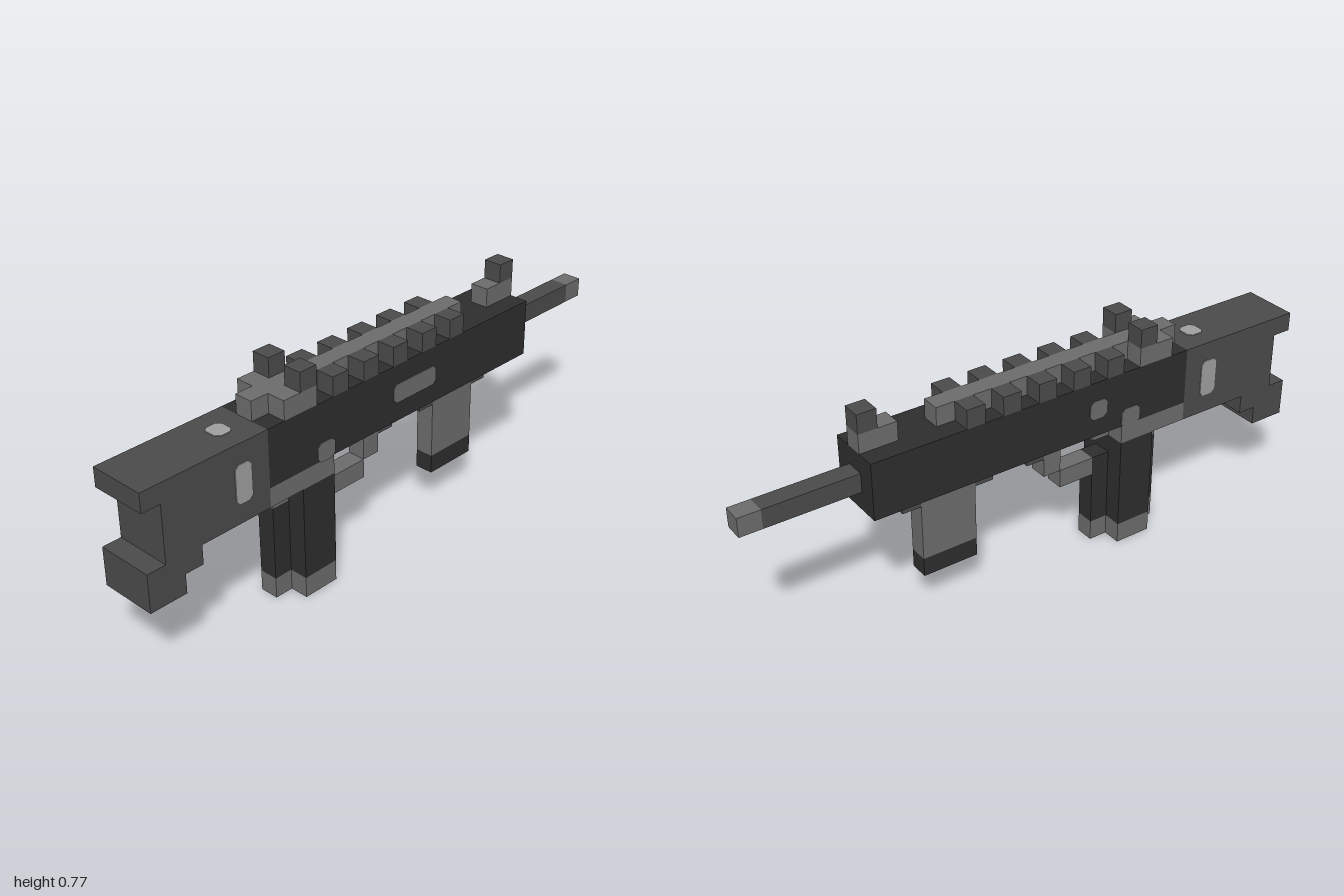
import * as THREE from 'three';

const U = 2 / 31; // one block; the model is 31 x 12 x 3 blocks

function material(name, color) {
  const m = new THREE.MeshStandardMaterial({ color });
  m.name = name;
  return m;
}

export function createModel() {
  const model = new THREE.Group();
  const black = material('black', 0x2d2d2d);
  const darkGrey = material('dark grey', 0x4a4a4a);
  const grey = material('grey', 0x6b6b6b);
  const paleGrey = material('pale grey', 0x9e9e9e);

  // Box given by its block limits along x and y, its depth and its z centre
  function block(name, mat, x0, x1, y0, y1, depth = 3, z = 0) {
    const mesh = new THREE.Mesh(new THREE.BoxGeometry((x1 - x0) * U, (y1 - y0) * U, depth * U), mat);
    mesh.position.set(((x0 + x1) / 2) * U - 1, ((y0 + y1) / 2) * U, z * U);
    mesh.name = name;
    model.add(mesh);
    return mesh;
  }

  // Thin plate with clipped corners, facing +z until turned
  function plate(name, mat, w, h, x, y, z, rx = 0, ry = 0) {
    const a = w / 2, b = h / 2, c = 0.2;
    const corners = [[-a + c, -b], [a - c, -b], [a, -b + c], [a, b - c], [a - c, b], [-a + c, b], [-a, b - c], [-a, -b + c]];
    const shape = new THREE.Shape(corners.map(([px, py]) => new THREE.Vector2(px * U, py * U)));
    const mesh = new THREE.Mesh(new THREE.ExtrudeGeometry(shape, { depth: 0.003, bevelEnabled: false }), mat);
    mesh.position.set(x * U - 1, y * U, z * U);
    mesh.rotation.set(rx, ry, 0);
    mesh.name = name;
    model.add(mesh);
  }

  // Stock with a hollowed rear edge and stepped toe
  block('stock', darkGrey, 1, 7, 6, 10);
  block('stockHeel', darkGrey, 0, 1, 9, 10);
  block('stockToe', darkGrey, 0, 2, 4, 6);
  block('stockToeStep', darkGrey, 2, 3, 5, 6);
  plate('stockSidePlate', paleGrey, 0.95, 2, 5.5, 8, 1.5);
  plate('stockSidePlate', paleGrey, 0.95, 2, 5.5, 8, -1.5, 0, Math.PI);
  plate('stockTopPlate', paleGrey, 0.95, 1, 5.5, 10, 0, -Math.PI / 2);
  plate('stockUnderPlate', grey, 2, 1, 5, 6, 0, Math.PI / 2);

  // Receiver and barrel
  block('receiver', black, 7, 25, 7, 10);
  plate('sidePort', grey, 3, 1, 16.5, 8.5, 1.5);
  plate('sideButton', grey, 1, 1, 12.5, 8.5, -1.5, 0, Math.PI);
  block('barrel', darkGrey, 25, 29.85, 8, 9, 1);
  block('muzzle', grey, 29.85, 31, 8, 9, 1);

  // Lower frame above the grip
  block('lowerFrame', grey, 7, 11, 6, 7);
  block('lowerFrameFront', grey, 11, 12, 6, 7, 1);
  plate('frameTab', grey, 1.1, 1, 10.5, 7.45, 1.5);
  plate('frameTab', grey, 1.1, 1, 10.5, 7.45, -1.5, 0, Math.PI);

  // Grip with a cross-shaped section
  block('gripCore', black, 9, 11, 1.1, 6);
  block('gripBack', black, 8, 9, 1.1, 5, 1);
  block('gripBackTop', grey, 8, 9, 5, 6, 1);
  block('gripFront', black, 11, 12, 1.1, 5, 1);
  block('gripBase', grey, 9, 11, 0, 1.1);
  block('gripBaseBack', grey, 8, 9, 0, 1.1, 1);
  block('gripBaseFront', grey, 11, 12, 0, 1.1, 1);
  plate('gripBasePlate', black, 2, 1, 10, 0.04, 0, Math.PI / 2);

  // Trigger guard
  block('guardBottom', grey, 12, 14, 4, 5, 1);
  block('guardFront', grey, 14, 15, 5, 7, 1);
  block('guardMount', darkGrey, 15, 16, 6, 7, 1);

  // Foregrip and its mounts
  block('foregrip', grey, 19, 22, 3, 7, 1);
  block('foregripBase', black, 19, 22, 2, 3, 1);
  for (const x of [18, 22]) block('foregripMount', darkGrey, x, x + 1, 6, 7, 1);

  // Top rail with side teeth
  block('rail', grey, 7, 21, 10, 11, 1);
  for (const z of [-1, 1]) {
    block('railClamp', grey, 8, 9, 10, 11, 1, z);
    block('rearSightBase', grey, 9, 10, 10, 11, 1, z);
    block('rearSight', darkGrey, 9, 10, 11, 12, 1, z);
    for (let x = 11; x < 21; x += 2) block('railTooth', darkGrey, x, x + 1, 10, 11, 1, z);
  }

  // Front sight
  block('frontSightBase', grey, 23, 25, 10, 11, 1);
  block('frontSight', darkGrey, 24, 25, 11, 12, 1);

  return model;
}
